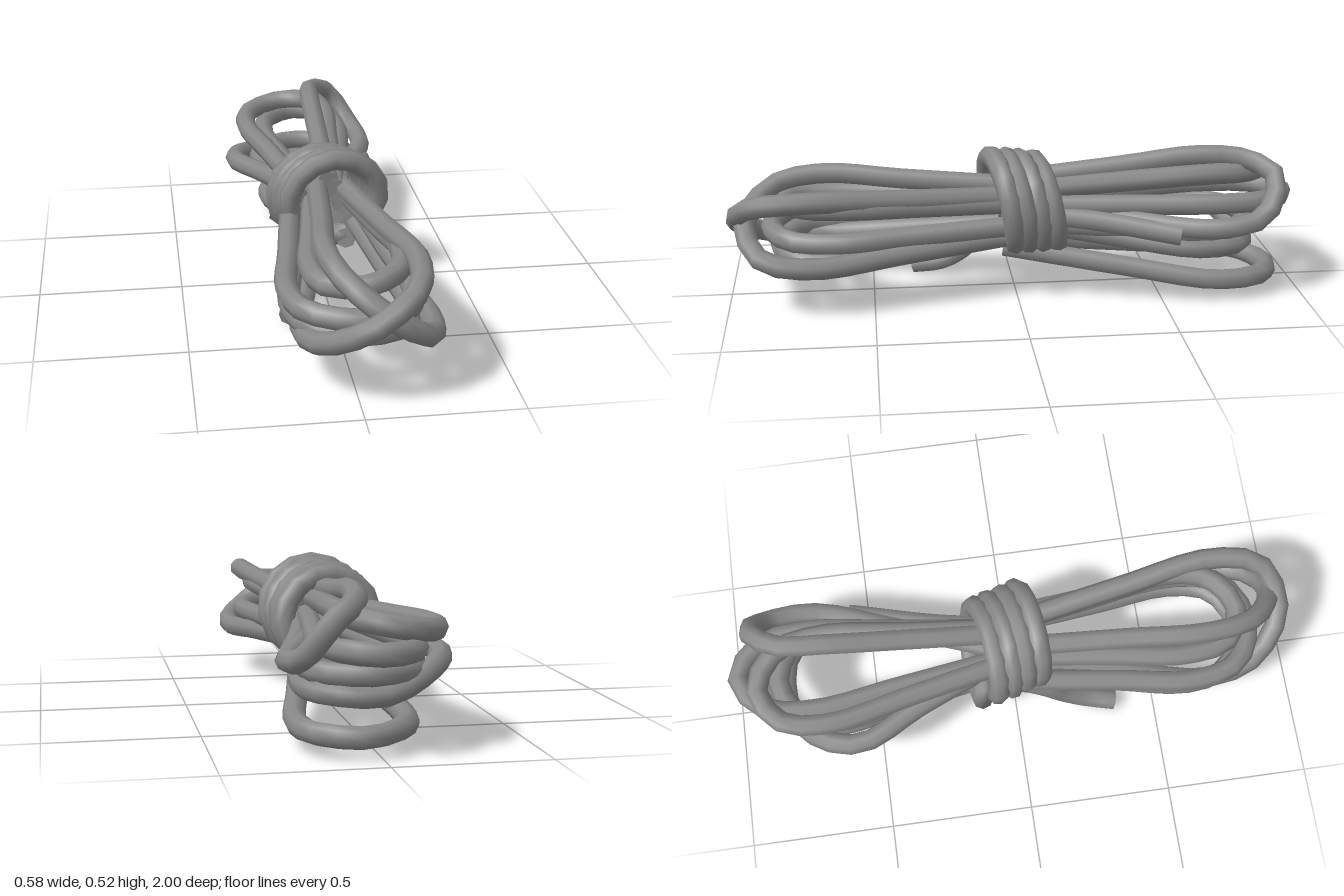
import * as THREE from 'three';

const R = 0.037; // rope radius
const SIDES = 8;
const material = new THREE.MeshStandardMaterial({ color: 0x888888 });
const vec = (x, y, z) => new THREE.Vector3(x, y, z);
const { lerp } = THREE.MathUtils;

// One length of rope swept along a smooth path, closed by a flat disc at each end
function rope(name, points, segments) {
  const curve = new THREE.CatmullRomCurve3(points);
  const group = new THREE.Group();
  group.name = name;
  const strand = new THREE.Mesh(new THREE.TubeGeometry(curve, segments, R, SIDES), material);
  strand.name = name + 'Strand';
  group.add(strand);
  const frames = curve.computeFrenetFrames(segments, false);
  for (const t of [0, 1]) {
    const cap = new THREE.Mesh(new THREE.CircleGeometry(R, SIDES), material);
    const z = frames.tangents[t * segments].clone().multiplyScalar(t ? 1 : -1);
    const x = frames.normals[t * segments];
    const y = vec(0, 0, 0).crossVectors(z, x);
    cap.quaternion.setFromRotationMatrix(new THREE.Matrix4().makeBasis(x, y, z));
    cap.position.copy(curve.getPointAt(t));
    cap.name = name + 'Cut';
    group.add(cap);
  }
  return group;
}

// A long bight: both ends start inside the binding, spread out to the two
// shoulders and meet at the tip. Skew makes the left shoulder reach further,
// gather is the sideways spread at the binding, height the level of the roots.
function bight(name, { right, left, reach, skew = 0, gather = 0.3, height = 0.3, tipY }) {
  const tip = vec((right[0] + left[0]) / 2, tipY ?? (right[1] + left[1]) / 2, reach);
  const side = ([x, y], extra) => {
    const fanned = (spreadX, spreadY, z) =>
      vec(lerp(0.025, x, spreadX), lerp(height, y, spreadY), z * reach);
    const bend = tip.clone().lerp(vec(x, y, 0), 0.78).setZ((0.92 + extra) * reach);
    return [
      fanned(gather, 0.55, -0.05),
      fanned(lerp(gather, 1, 0.6), 0.82, 0.42),
      fanned(1, 1, 0.74 + extra),
      bend,
    ];
  };
  const path = [...side(right, -skew), tip, ...side(left, skew).reverse()];
  return rope(name, path, 30);
}

const frontLoops = [
  { right: [-0.155, 0.165], left: [0.205, 0.395], reach: 0.965, skew: 0.03, gather: 0.25 },
  { right: [-0.075, 0.415], left: [0.255, 0.18], reach: 0.935, skew: 0.02, gather: 0.35 },
  { right: [-0.115, 0.33], left: [0.18, 0.36], reach: 0.8, skew: -0.02, gather: 0.35 },
  { right: [-0.19, 0.265], left: [0.21, 0.25], reach: 0.85, gather: 0.6 },
  { right: [-0.18, 0.205], left: [0.205, 0.18], reach: 0.82, gather: 0.5 },
];

const backLoops = [
  { right: [-0.125, 0.08], left: [0.225, 0.075], reach: -0.9, skew: 0.02, tipY: 0.068 }, // sagging
  { right: [-0.13, 0.32], left: [0.16, 0.33], reach: -0.96 }, // longest
  { right: [0.045, 0.475], left: [0.25, 0.27], reach: -0.9, skew: 0.02, gather: -0.2, tipY: 0.42 }, // high arch
  { right: [-0.205, 0.37], left: [0.1, 0.42], reach: -0.89, skew: -0.01 },
  { right: [-0.257, 0.265], left: [0.2, 0.185], reach: -0.81, skew: 0.04, gather: 0.1, height: 0.37, tipY: 0.175 }, // wide bulge
  { right: [-0.16, 0.245], left: [0.19, 0.24], reach: -0.83 },
];

// Slanted coils wound around the middle, with both ends tucked into the bundle
function binding() {
  const turns = 4;
  const steps = turns * 12;
  const path = [vec(-0.06, 0.27, 0.06)];
  for (let i = 0; i <= steps; i++) {
    const t = i / steps;
    const a = Math.PI * (1.1 - t * turns * 2);
    path.push(vec(
      0.045 - 0.045 * t + 0.165 * Math.cos(a),
      0.335 - 0.035 * t + 0.155 * Math.sin(a),
      0.07 - 0.2 * t + 0.02 * Math.sin(a) - 0.018 * Math.cos(a),
    ));
  }
  path.push(vec(-0.06, 0.28, -0.12));
  return rope('binding', path, 60);
}

export function createModel() {
  const model = new THREE.Group();
  model.name = 'ropeBundle';

  frontLoops.forEach((loop, i) => model.add(bight('frontLoop' + (i + 1), loop)));
  backLoops.forEach((loop, i) => model.add(bight('backLoop' + (i + 1), loop)));
  model.add(binding());

  // Loose ends
  model.add(rope('hangingTail', [
    vec(-0.09, 0.25, -0.02), vec(-0.112, 0.17, 0.11), vec(-0.118, 0.1, 0.175),
    vec(-0.13, 0.055, 0.25), vec(-0.152, 0.037, 0.355),
  ], 16));
  model.add(rope('sideTail', [
    vec(0.08, 0.3, 0.05), vec(0.14, 0.28, -0.25), vec(0.235, 0.245, -0.555),
  ], 12));

  return model;
}
